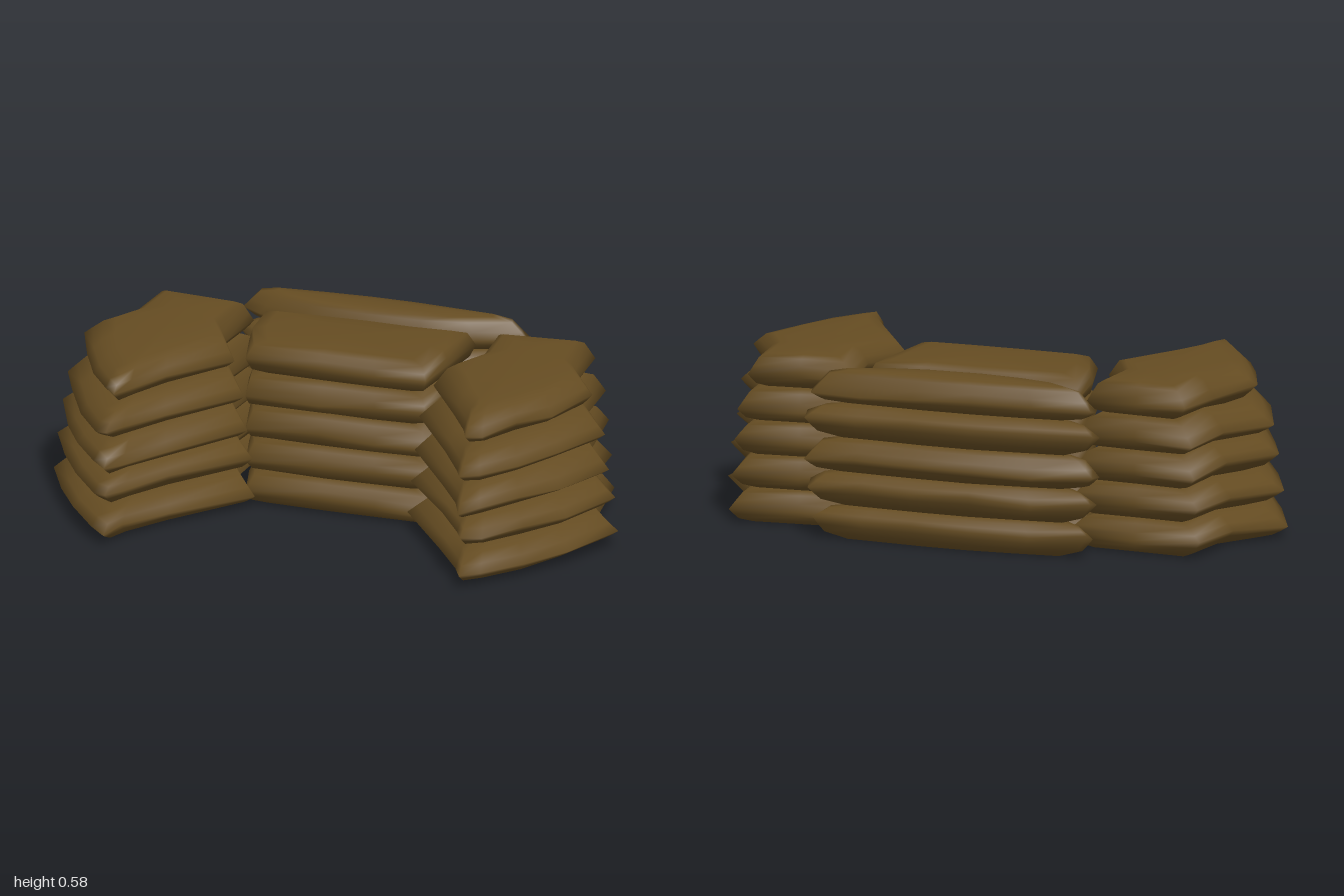
import * as THREE from 'three';

const LAYERS = 5;
const STEP = 0.116; // height of one course

// Pillow section from bottom to top: [seam bulge 0..1, height fraction, cap scale]
const PROFILE = [
  [0, 0, 0.45], [0, 0, 0.87], [0.35, 0.13, 1], [0.7, 0.28, 1], [1, 0.43, 1],
  [0.6, 0.64, 1], [0.12, 0.88, 1], [0, 0.98, 0.87], [0, 1.03, 0.45],
];

// Footprints as [x, z], clockwise seen from above; neck is the x and z scale between seams
const SIDE = {
  outline: [
    [0.36, -0.37], [0.6, -0.385], [0.84, -0.4], [0.87, -0.15], [1, 0.02], [0.9, 0.23], [0.8, 0.4],
    [0.69, 0.53], [0.63, 0.58], [0.59, 0.5], [0.48, 0.34], [0.27, 0.07], [0.39, -0.12],
  ],
  centre: [0.6, -0.2],
  neck: [0.79, 0.89],
};
const MIRRORED = {
  outline: SIDE.outline.map(([x, z]) => [-x, z]).reverse(),
  centre: [-0.6, -0.2],
  neck: SIDE.neck,
};
const CENTRE = {
  outline: [
    [-0.38, -0.32], [-0.2, -0.325], [0, -0.33], [0.2, -0.325], [0.37, -0.34], [0.35, -0.13],
    [0.33, 0.055], [0.15, 0.06], [-0.05, 0.06], [-0.31, 0.05], [-0.36, -0.13],
  ],
  centre: [0, -0.14],
  neck: [0.94, 0.88],
};
const BACK = {
  outline: [
    [-0.51, -0.54], [-0.3, -0.565], [-0.08, -0.585], [0.14, -0.58], [0.34, -0.56], [0.52, -0.54],
    [0.53, -0.48], [0.37, -0.385], [0.18, -0.335], [-0.08, -0.325], [-0.28, -0.36], [-0.44, -0.42], [-0.52, -0.5],
  ],
  centre: [0, -0.445],
  neck: [0.87, 0.72],
};

let seed = 11;
function jitter(amount) {
  seed = (seed * 16807) % 2147483647;
  return (seed / 2147483647 - 0.5) * 2 * amount;
}

// Lofts a stuffed bag through scaled copies of its footprint
function bagGeometry({ outline, centre: [cx, cz], neck }, y0, [sx, sz, seamLift]) {
  const n = outline.length;
  const pos = [];
  const index = [];
  const sag = outline.map(() => seamLift + jitter(0.012));
  const pinch = outline.map(() => jitter(0.024));
  PROFILE.forEach(([bulge, t, cap]) => {
    const kx = sx * cap * THREE.MathUtils.lerp(neck[0], 1, bulge);
    const kz = sz * cap * THREE.MathUtils.lerp(neck[1], 1, bulge);
    outline.forEach(([x, z], i) => {
      const p = 1 + pinch[i] * (1 - bulge);
      pos.push(cx + (x - cx) * kx * p, y0 + t * STEP + sag[i] * bulge, cz + (z - cz) * kz * p);
    });
  });
  for (let r = 0; r < PROFILE.length - 1; r++) {
    for (let i = 0; i < n; i++) {
      const j = (i + 1) % n;
      const a0 = r * n + i, a1 = r * n + j;
      index.push(a1, a0, a0 + n, a1, a0 + n, a1 + n);
    }
  }
  // End caps
  const top = (PROFILE.length - 1) * n;
  const bottomMid = pos.length / 3, topMid = bottomMid + 1;
  pos.push(cx, y0, cz, cx, y0 + STEP * 1.04, cz);
  for (let i = 0; i < n; i++) {
    const j = (i + 1) % n;
    index.push(bottomMid, i, j, topMid, top + j, top + i);
  }
  const geo = new THREE.BufferGeometry();
  geo.setAttribute('position', new THREE.Float32BufferAttribute(pos, 3));
  geo.setIndex(index);
  geo.computeVertexNormals();
  return geo;
}

export function createModel() {
  const wall = new THREE.Group();
  wall.name = 'sandbagWall';
  const burlap = new THREE.MeshStandardMaterial({ color: 0x654c22 });
  burlap.name = 'brownBurlap';

  // Width scale, depth scale and seam lift of the bags in each course
  const sideSizes = [[1, 1, 0], [0.97, 0.98, 0.005], [0.92, 1, -0.005], [0.88, 0.98, -0.005], [0.75, 0.89, 0]];
  const backSizes = [[0.95, 0.88, 0.025], [0.98, 0.93, 0.02], [1, 1, 0], [1, 0.95, 0.02], [0.97, 0.75, -0.01]];

  for (let k = 0; k < LAYERS; k++) {
    const course = new THREE.Group();
    course.name = `course${k + 1}`;
    const add = (name, shape, size) => {
      const bag = new THREE.Mesh(bagGeometry(shape, 0.005 + k * STEP, size), burlap);
      bag.name = name;
      course.add(bag);
    };
    add('leftBag', SIDE, sideSizes[k]);
    add('rightBag', MIRRORED, sideSizes[k]);
    add('centreBag', CENTRE, [1, 1, 0]);
    add('backBag', BACK, backSizes[k]);
    wall.add(course);
  }
  return wall;
}
